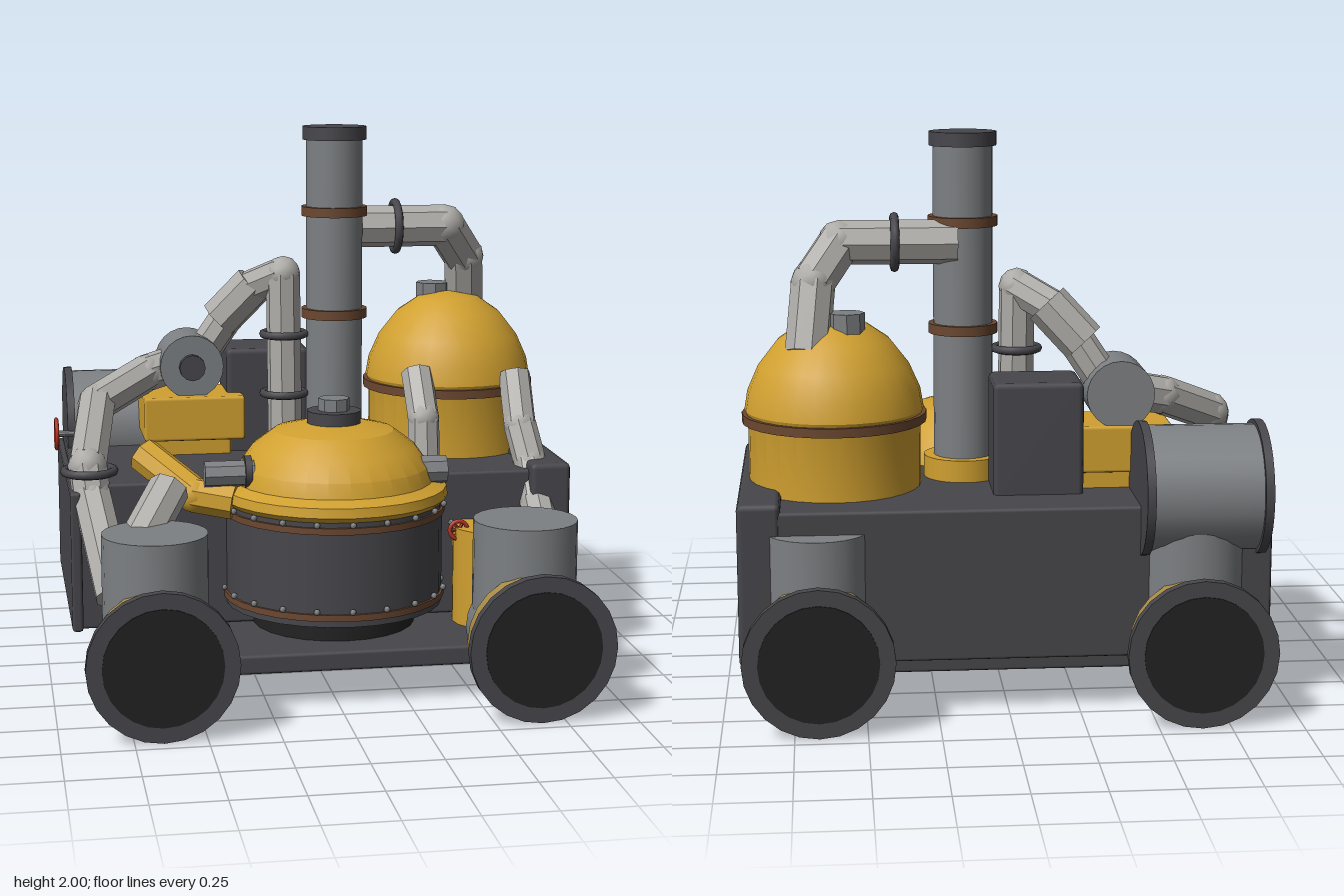
import * as THREE from 'three';
import { toCreasedNormals } from 'three/addons/utils/BufferGeometryUtils.js';
import { RoundedBoxGeometry } from 'three/addons/geometries/RoundedBoxGeometry.js';

const paint = (name, color) => {
  const m = new THREE.MeshStandardMaterial({ color });
  m.name = name;
  return m;
};

export function createModel() {
  const root = new THREE.Group();
  root.name = 'steamMachine';
  const dark = paint('dark iron', 0x47464b);
  const grey = paint('grey steel', 0x7d8083);
  const pale = paint('pale pipe', 0xaeaca8);
  const yellow = paint('yellow enamel', 0xd0a030);
  const tan = paint('dull brass', 0xa88c48);
  const black = paint('soot black', 0x222222);
  const rust = paint('rust brown', 0x6b4730);
  const red = paint('valve red', 0xb03424);

  const add = (name, geo, mat, pos = [0, 0, 0], parent = root) => {
    const m = new THREE.Mesh(geo, mat);
    m.name = name;
    m.position.set(...pos);
    parent.add(m);
    return m;
  };
  // Box given by its lower and upper corners, with a small bevel
  const box = (name, mat, a, b, r = 0.012) => add(name,
    new RoundedBoxGeometry(b[0] - a[0], b[1] - a[1], b[2] - a[2], 1, r), mat,
    a.map((v, i) => (v + b[i]) / 2));
  // Cylinder between two points
  const UP = new THREE.Vector3(0, 1, 0);
  const rod = (name, mat, a, b, r, sides = 24, parent = root) => {
    const p = new THREE.Vector3(...a), q = new THREE.Vector3(...b);
    const d = q.clone().sub(p);
    let g = new THREE.CylinderGeometry(r, r, d.length(), sides);
    if (sides < 12) { g = g.toNonIndexed(); g.computeVertexNormals(); }
    const m = add(name, g, mat, p.add(q).multiplyScalar(0.5).toArray(), parent);
    m.quaternion.setFromUnitVectors(UP, d.normalize());
    return m;
  };
  // Faceted pipe: straight lengths joined by faceted elbows
  const pipe = (name, mat, pts, r) => {
    const g = new THREE.Group();
    g.name = name;
    root.add(g);
    for (let i = 0; i + 1 < pts.length; i++) {
      rod('pipeLength', mat, pts[i], pts[i + 1], r, 8, g);
      if (i > 0) add('pipeElbow', new THREE.IcosahedronGeometry(r * 1.02, 1), mat, pts[i], g);
    }
  };
  const lathe = (name, mat, prof, x, z) => add(name, toCreasedNormals(
    new THREE.LatheGeometry(prof.map(p => new THREE.Vector2(...p)), 28), 0.4), mat, [x, 0, z]);
  // Horizontal or upright ring
  const ring = (name, mat, pos, r, t, axis = 'y') => {
    const m = add(name, new THREE.TorusGeometry(r, t, 8, 24), mat, pos);
    if (axis === 'y') m.rotation.x = Math.PI / 2;
    if (axis === 'x') m.rotation.y = Math.PI / 2;
    return m;
  };

  // Chassis
  box('floorPlate', dark, [-0.8, 0.13, -0.66], [0.8, 0.2, 0.66]);
  box('mainBody', dark, [-0.9, 0.2, -0.75], [0.82, 0.74, 0.24]);
  box('leftSidePanel', dark, [0.79, 0.19, -0.755], [0.94, 0.77, 0.29], 0.02);
  box('rightSidePanel', dark, [-0.92, 0.2, -0.75], [-0.88, 0.72, 0.28]);
  box('controlCabinet', dark, [-0.28, 0.72, -0.55], [0.04, 1.14, -0.28], 0.02);

  // Four wheels with upright cylinders
  for (const x of [-0.65, 0.665]) for (const s of [-1, 1]) {
    const w = new THREE.Group();
    w.name = (s > 0 ? 'front' : 'back') + (x > 0 ? 'Left' : 'Right') + 'Wheel';
    root.add(w);
    rod('wheelRim', dark, [x, 0.262, s * 0.915], [x, 0.262, s * 0.952], 0.262, 24, w);
    rod('wheelFace', black, [x, 0.262, s * 0.95], [x, 0.262, s * 0.956], 0.207, 24, w);
    rod('wheelBand', tan, [x, 0.262, s * 0.805], [x, 0.262, s * 0.916], 0.238, 24, w);
    rod('wheelHub', grey, [x, 0.26, s * 0.62], [x, 0.26, s * 0.81], 0.2, 24, w);
    rod('wheelCylinder', grey, [x, 0.22, s * 0.665], [x, 0.66, s * 0.665], 0.185, 24, w);
  }

  // Round boiler with lid
  const bx = 0.05, bz = 0.235;
  rod('boilerFoot', black, [bx, 0.19, bz], [bx, 0.29, bz], 0.3);
  rod('boilerBody', dark, [bx, 0.28, bz], [bx, 0.67, bz], 0.4, 28);
  for (const y of [0.315, 0.63]) {
    rod('boilerBand', rust, [bx, y - 0.012, bz], [bx, y + 0.012, bz], 0.409, 28);
    for (let i = 0; i < 20; i++) {
      const a = i / 20 * Math.PI * 2;
      add('rivet', new THREE.SphereGeometry(0.012, 6, 4), grey,
        [bx + 0.408 * Math.sin(a), y + 0.022, bz + 0.408 * Math.cos(a)]);
    }
  }
  lathe('boilerLid', yellow, [[0, 0.66], [0.4, 0.66], [0.42, 0.68], [0.415, 0.715], [0.365, 0.735],
    [0.35, 0.79], [0.3, 0.86], [0.22, 0.92], [0.12, 0.945], [0, 0.945]], bx, bz);
  rod('lidCollar', dark, [bx, 0.93, bz], [bx, 0.99, bz], 0.1, 16);
  rod('lidKnob', grey, [bx, 0.98, bz], [bx, 1.035, bz], 0.058, 8);
  rod('rightLidLatch', grey, [-0.44, 0.785, 0.33], [-0.26, 0.785, 0.33], 0.048, 8);
  rod('latchDisc', dark, [-0.295, 0.79, 0.33], [-0.27, 0.79, 0.33], 0.06, 16);
  rod('leftLidLatch', grey, [0.34, 0.775, 0.33], [0.45, 0.775, 0.33], 0.052, 8);

  // Chimney
  const cx = 0.125, cz = -0.2;
  rod('chimneyCollar', yellow, [cx, 0.72, cz], [cx, 0.82, cz], 0.145);
  rod('chimney', grey, [cx, 0.74, cz], [cx, 1.96, cz], 0.108);
  rod('chimneyCap', dark, [cx, 1.95, cz], [cx, 2, cz], 0.122);
  for (const y of [1.29, 1.68])
    rod('chimneyBand', rust, [cx, y - 0.018, cz], [cx, y + 0.018, cz], 0.126);

  // Domed tank
  const tx = 0.597, tz = -0.305;
  lathe('domedTank', yellow, [[0.31, 0.73], [0.31, 0.99], [0.322, 1.02], [0.31, 1.09], [0.27, 1.18],
    [0.2, 1.27], [0.12, 1.325], [0, 1.35]], tx, tz);
  rod('tankBand', rust, [tx, 0.975, tz], [tx, 1.008, tz], 0.332, 28);
  rod('tankPlug', grey, [0.55, 1.28, -0.38], [0.55, 1.375, -0.38], 0.065, 8);

  // Steam pipe from chimney to tank
  pipe('steamPipe', pale, [[0.15, 1.61, -0.265], [0.57, 1.61, -0.265], [0.665, 1.48, -0.34],
    [0.69, 1.24, -0.42]], 0.08);
  ring('steamPipeClamp', dark, [0.375, 1.61, -0.265], 0.092, 0.016, 'x');

  // Pipes at the front of the tank
  pipe('tankInnerPipe', pale, [[0.42, 1.07, -0.05], [0.42, 0.92, 0.08], [0.42, 0.7, 0.11]], 0.06);
  pipe('tankOuterPipe', pale, [[0.8, 1.06, -0.04], [0.8, 0.88, 0.06], [0.82, 0.75, 0.14],
    [0.82, 0.62, 0.24], [0.8, 0.45, 0.52]], 0.062);
  rod('frontCanister', yellow, [0.62, 0.2, 0.34], [0.62, 0.56, 0.34], 0.14, 16);

  // Pump drum with its pipes
  box('pumpBase', yellow, [-0.61, 0.8, -0.49], [-0.22, 0.97, -0.2]);
  box('pumpPlinth', yellow, [-0.57, 0.72, -0.46], [-0.27, 0.82, -0.24]);
  rod('pumpDrum', grey, [-0.42, 1.08, -0.475], [-0.42, 1.08, -0.25], 0.122);
  rod('pumpHub', dark, [-0.42, 1.08, -0.26], [-0.42, 1.08, -0.22], 0.05, 12);
  pipe('pumpLongPipe', pale, [[-0.46, 1.08, -0.37], [-0.59, 1.05, -0.32], [-0.79, 0.96, -0.2],
    [-0.85, 0.8, 0.18], [-0.84, 0.7, 0.22], [-0.78, 0.4, 0.53]], 0.072);
  ring('longPipeClamp', dark, [-0.845, 0.785, 0.2], 0.09, 0.016);
  pipe('pumpRiser', pale, [[-0.38, 1.1, -0.36], [-0.2, 1.37, -0.32], [-0.07, 1.44, -0.22],
    [-0.065, 0.72, -0.2]], 0.066);
  pipe('riserSleeve', pale, [[-0.3, 1.25, -0.345], [-0.17, 1.39, -0.31]], 0.082);
  for (const y of [0.98, 1.21]) ring('riserClamp', dark, [-0.07, y, -0.2], 0.08, 0.015);

  // Feed pipes beside the boiler
  pipe('wheelCylinderPipe', pale, [[-0.69, 0.6, 0.54], [-0.57, 0.75, 0.37]], 0.075);
  pipe('yellowSpout', yellow, [[-0.64, 0.82, 0.11], [-0.47, 0.7, 0.28], [-0.33, 0.68, 0.33]], 0.066);

  // Flanged rear drum
  const dy = 0.785, dz = -0.665;
  rod('rearDrum', grey, [-0.88, dy, dz], [-0.465, dy, dz], 0.222, 28);
  for (const x of [-0.892, -0.485])
    rod('rearDrumFlange', dark, [x, dy, dz], [x + 0.03, dy, dz], 0.237, 28);

  // Red hand valves
  const valve = (name, pos, r, axis) => {
    ring(name, red, pos, r, 0.008, axis);
    for (let i = 0; i < 3; i++) {
      const a = i * Math.PI / 3, c = r * Math.cos(a), s = r * Math.sin(a);
      const o = axis === 'x' ? [0, c, s] : [c, s, 0];
      rod(name + 'Spoke', red, pos.map((v, k) => v - o[k]), pos.map((v, k) => v + o[k]), 0.006, 6);
    }
  };
  valve('rightHandValve', [-0.945, 0.845, -0.2], 0.055, 'x');
  rod('rightValveStem', grey, [-0.945, 0.845, -0.2], [-0.78, 0.845, -0.2], 0.012, 8);
  valve('leftHandValve', [0.495, 0.55, 0.36], 0.033, 'z');
  rod('leftValveStem', grey, [0.495, 0.55, 0.36], [0.495, 0.55, 0.22], 0.012, 8);

  return root;
}
